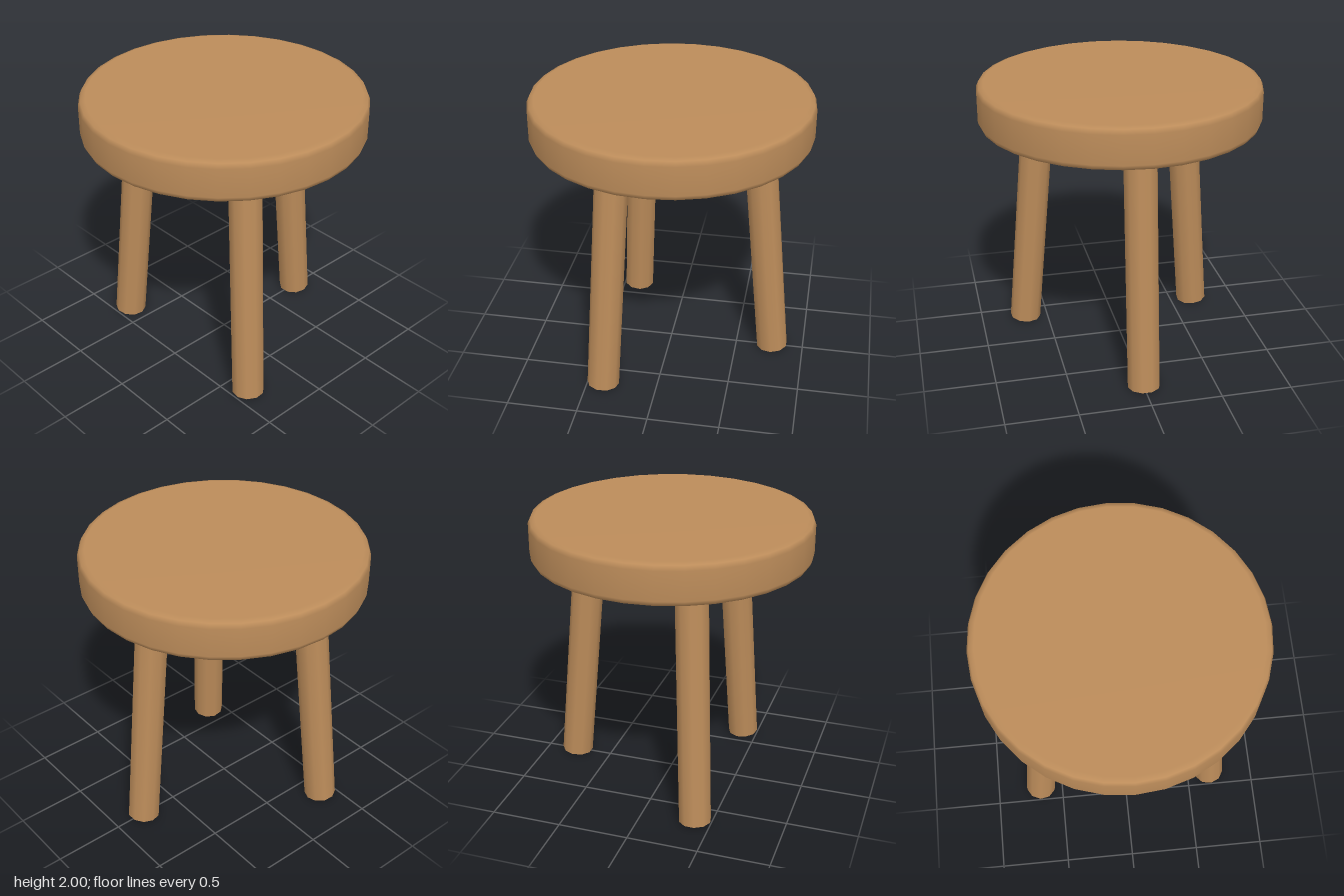
import * as THREE from 'three';

export function createModel() {
  const model = new THREE.Group();
  model.name = 'stool';
  const wood = new THREE.MeshStandardMaterial({ color: 0xbc8c5a, side: THREE.DoubleSide });
  wood.name = 'warm wood';

  // Round seat with softened rims, profile listed from the underside up
  const profile = [
    [0, 1.71], [0.93, 1.71], [0.965, 1.722], [0.98, 1.755],
    [0.98, 1.955], [0.965, 1.988], [0.93, 2], [0, 2],
  ].map(([r, y]) => new THREE.Vector2(r, y));
  const seat = new THREE.Mesh(new THREE.LatheGeometry(profile, 32), wood);
  seat.name = 'seat';
  model.add(seat);

  // Three splayed legs: open ten-sided tubes, evenly spaced around the seat
  const foot = new THREE.Vector2(0.77, 0.01);
  const top = new THREE.Vector2(0.608, 1.73);
  const legGeometry = new THREE.CylinderGeometry(0.114, 0.114, foot.distanceTo(top), 10, 1, true);
  legGeometry.rotateZ(Math.atan2(foot.x - top.x, top.y - foot.y));
  legGeometry.translate((foot.x + top.x) / 2, (foot.y + top.y) / 2, 0);
  ['leftLeg', 'backRightLeg', 'frontRightLeg'].forEach((name, i) => {
    const leg = new THREE.Mesh(legGeometry, wood);
    leg.name = name;
    leg.rotation.y = (i * Math.PI * 2) / 3;
    model.add(leg);
  });

  return model;
}
